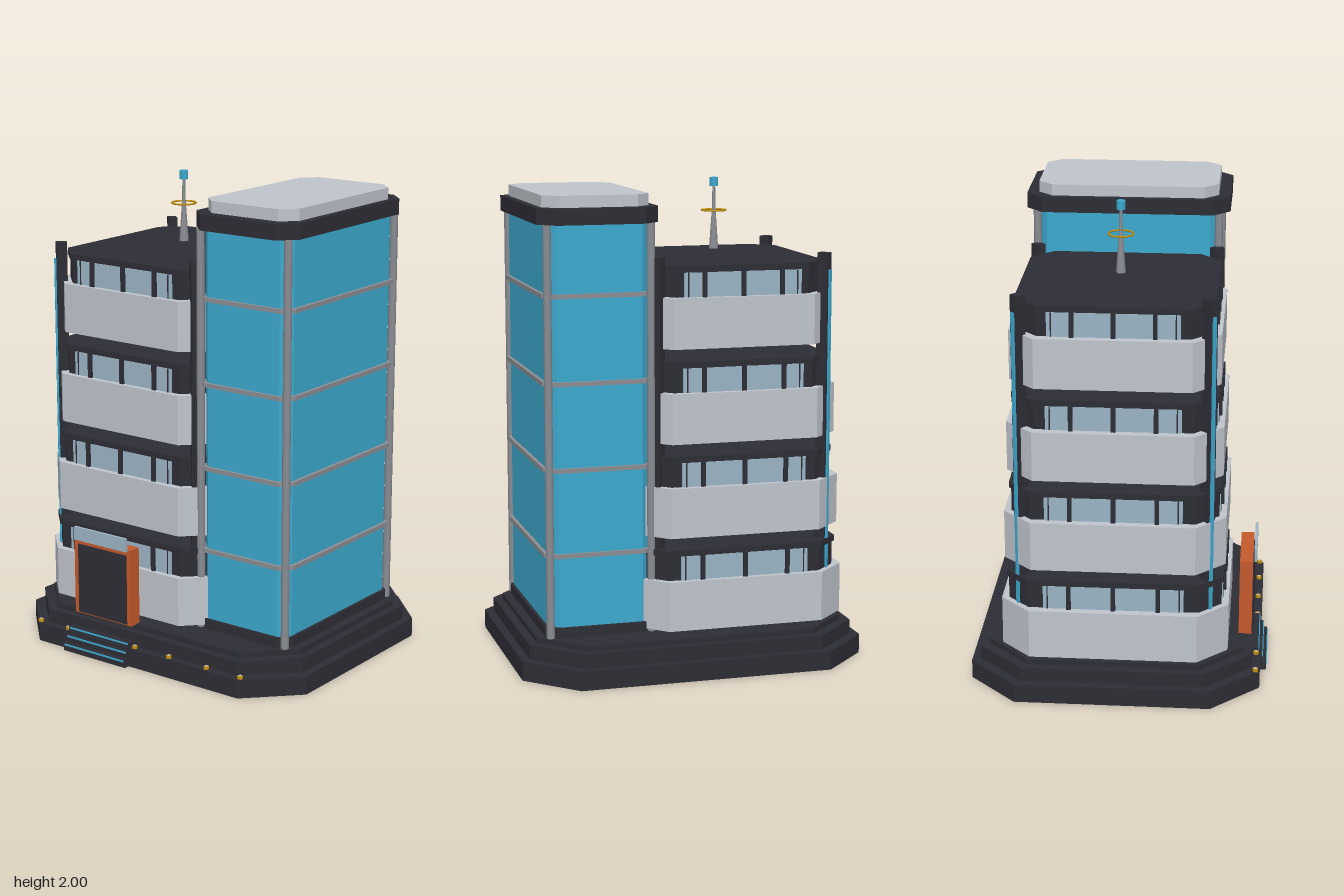
import * as THREE from 'three';

const flat = (name, color) => {
  const m = new THREE.MeshStandardMaterial({ color });
  m.name = name;
  return m;
};

export function createModel() {
  const dark = flat('charcoal', 0x2d2d35);
  const light = flat('paleConcrete', 0xbfc4cc);
  const cyan = flat('cyanGlass', 0x3ca9ce);
  const glass = flat('windowGlass', 0x9bb4c4);
  const steel = flat('steel', 0x8a8d93);
  const orange = flat('orange', 0xc4592c);
  const gold = flat('gold', 0xc4900f);

  const root = new THREE.Group();
  const CX = -0.205, CZ = -0.015, TX = 0.393;

  const add = (name, geo, mat, x = 0, y = 0, z = 0, parent = root) => {
    const m = new THREE.Mesh(geo, mat);
    m.name = name;
    m.position.set(x, y, z);
    parent.add(m);
    return m;
  };
  const box = (name, mat, w, h, d, x, y, z, parent) =>
    add(name, new THREE.BoxGeometry(w, h, d), mat, x, y, z, parent);
  const rod = (name, mat, rTop, rBottom, y0, y1, x, z, sides = 12) =>
    add(name, new THREE.CylinderGeometry(rTop, rBottom, y1 - y0, sides), mat, x, (y0 + y1) / 2, z);

  // Upright prism with cut corners: half sizes hx, hz and corner cut c
  const prism = (name, mat, hx, hz, c, y0, y1, x, z = CZ) => {
    const s = new THREE.Shape([
      [hx - c, -hz], [hx, c - hz], [hx, hz - c], [hx - c, hz],
      [c - hx, hz], [-hx, hz - c], [-hx, c - hz], [c - hx, -hz],
    ].map(([a, b]) => new THREE.Vector2(a, b)));
    const g = new THREE.ExtrudeGeometry(s, { depth: y1 - y0, bevelEnabled: false });
    g.rotateX(-Math.PI / 2);
    return add(name, g, mat, x, y0, z);
  };

  // Stepped plinth
  prism('plinthBottom', dark, 0.73, 0.605, 0.2, 0, 0.08, 0);
  prism('plinthMiddle', dark, 0.695, 0.57, 0.19, 0.08, 0.14, 0);
  prism('plinthTop', dark, 0.66, 0.535, 0.18, 0.14, 0.163, 0);

  // Four storeys, each slightly smaller than the one below
  for (let i = 0; i < 4; i++) {
    const k = 3 - i, y = 0.175 + i * 0.3875, grow = 0.015 * k;
    prism('parapet', light, 0.41 + grow, 0.425 + grow, 0.11 + 0.005 * k, y, y + 0.208, CX);
    const hx = 0.37 + grow, hz = 0.395 + grow;
    prism('storeyWall', dark, hx, hz, 0.09, y + 0.2, y + 0.312, CX);
    prism('storeyRoof', dark, hx + 0.008, hz + 0.008, 0.092, y + 0.31, y + 0.335, CX);

    // Window strips and mullions on all four sides
    const sides = [[0, hz, 0.25], [1, hx, 0.265], [2, hz, 0.25], [3, hx, 0.265]];
    for (const [turn, dist, half] of sides) {
      const wall = new THREE.Group();
      wall.name = 'windowWall';
      wall.position.set(CX, y, CZ);
      wall.rotation.y = turn * Math.PI / 2;
      root.add(wall);
      const w = half + 0.008 * k, pitch = 0.165 + 0.006 * k;
      box('windowStrip', glass, 2 * w, 0.1, 0.006, 0, 0.258, dist + 0.002, wall);
      for (const p of [-pitch, 0, pitch])
        box('mullion', dark, 0.018, 0.11, 0.02, p, 0.26, dist + 0.006, wall);
      for (const p of [-w + 0.018, w - 0.018])
        box('windowBar', dark, 0.005, 0.1, 0.01, p, 0.258, dist + 0.002, wall);
    }
  }

  // Core panels seen in the gaps between storeys
  box('innerPanel', cyan, 0.385, 0.54, 0.04, -0.2, 0.67, -0.1);
  rod('innerPost', steel, 0.028, 0.028, 0.88, 0.96, -0.06, 0);
  box('innerShelf', dark, 0.16, 0.015, 0.12, 0.05, 1.302, -0.1);
  box('innerScreen', cyan, 0.15, 0.03, 0.1, 0.055, 1.325, -0.1);

  // Corner columns with a glowing strip on the outer face
  for (const sx of [-1, 1]) for (const sz of [-1, 1]) {
    const column = new THREE.Group();
    column.name = 'cornerColumn';
    column.position.set(CX + sx * 0.355, 0, CZ + sz * 0.378);
    column.rotation.y = Math.atan2(sx, sz);
    root.add(column);
    box('columnPost', dark, 0.04, 1.55, 0.046, 0, 0.935, 0, column);
    if (sx < 0) box('columnStrip', cyan, 0.016, 1.43, 0.01, 0, 0.925, 0.026, column);
  }

  // Glass tower
  prism('towerFoot', dark, 0.23, 0.4, 0.05, 0.16, 0.205, TX);
  prism('towerGlass', cyan, 0.217, 0.385, 0.04, 0.2, 1.855, TX);
  for (let i = 0; i < 4; i++) {
    const y = 0.505 + i * 0.3533;
    prism('towerRail', steel, 0.232, 0.398, 0.045, y - 0.009, y + 0.009, TX);
  }
  for (const sx of [-1, 1]) for (const sz of [-1, 1])
    rod('towerPost', steel, 0.017, 0.017, 0.163, 1.85, TX + sx * 0.213, CZ + sz * 0.383, 8);
  prism('towerCornice', dark, 0.25, 0.43, 0.07, 1.85, 1.915, TX);
  prism('towerRoof', light, 0.221, 0.38, 0.06, 1.915, 1.963, TX);

  // Entrance: solid portal, door plate and canopy panel
  box('doorFrame', orange, 0.305, 0.335, 0.055, -0.203, 0.328, 0.523);
  box('doorTrim', dark, 0.262, 0.305, 0.004, -0.203, 0.318, 0.5515);
  box('door', dark, 0.246, 0.29, 0.006, -0.203, 0.318, 0.553);
  box('canopyPanel', glass, 0.28, 0.058, 0.012, -0.203, 0.52, 0.561);

  // Entrance steps with bright edges
  for (let i = 0; i < 3; i++) {
    const top = 0.035 + i * 0.033, front = 0.615 - i * 0.017;
    box('step', dark, 0.335, top, front - 0.45, -0.203, top / 2, (front + 0.45) / 2);
    box('stepEdge', cyan, 0.32, 0.007, 0.005, -0.203, top - 0.007, front + 0.0015);
  }

  // Small lamps along the front ledge
  for (const x of [-0.535, -0.38, -0.015, 0.165, 0.36, 0.53]) {
    rod('lampBase', gold, 0.012, 0.012, 0.078, 0.092, x, 0.572, 8);
    rod('lampBulb', light, 0.006, 0.006, 0.09, 0.095, x, 0.572, 8);
  }

  // Rooftop mast with ring and beacon
  rod('mast', steel, 0.008, 0.02, 1.7, 1.87, -0.2, CZ);
  rod('mastTop', steel, 0.006, 0.008, 1.87, 1.97, -0.2, CZ);
  const ring = add('mastRing', new THREE.TorusGeometry(0.051, 0.004, 6, 32), gold, -0.2, 1.862, CZ);
  ring.rotation.x = Math.PI / 2;
  rod('beacon', cyan, 0.018, 0.018, 1.963, 2.0, -0.2, CZ);

  return root;
}
